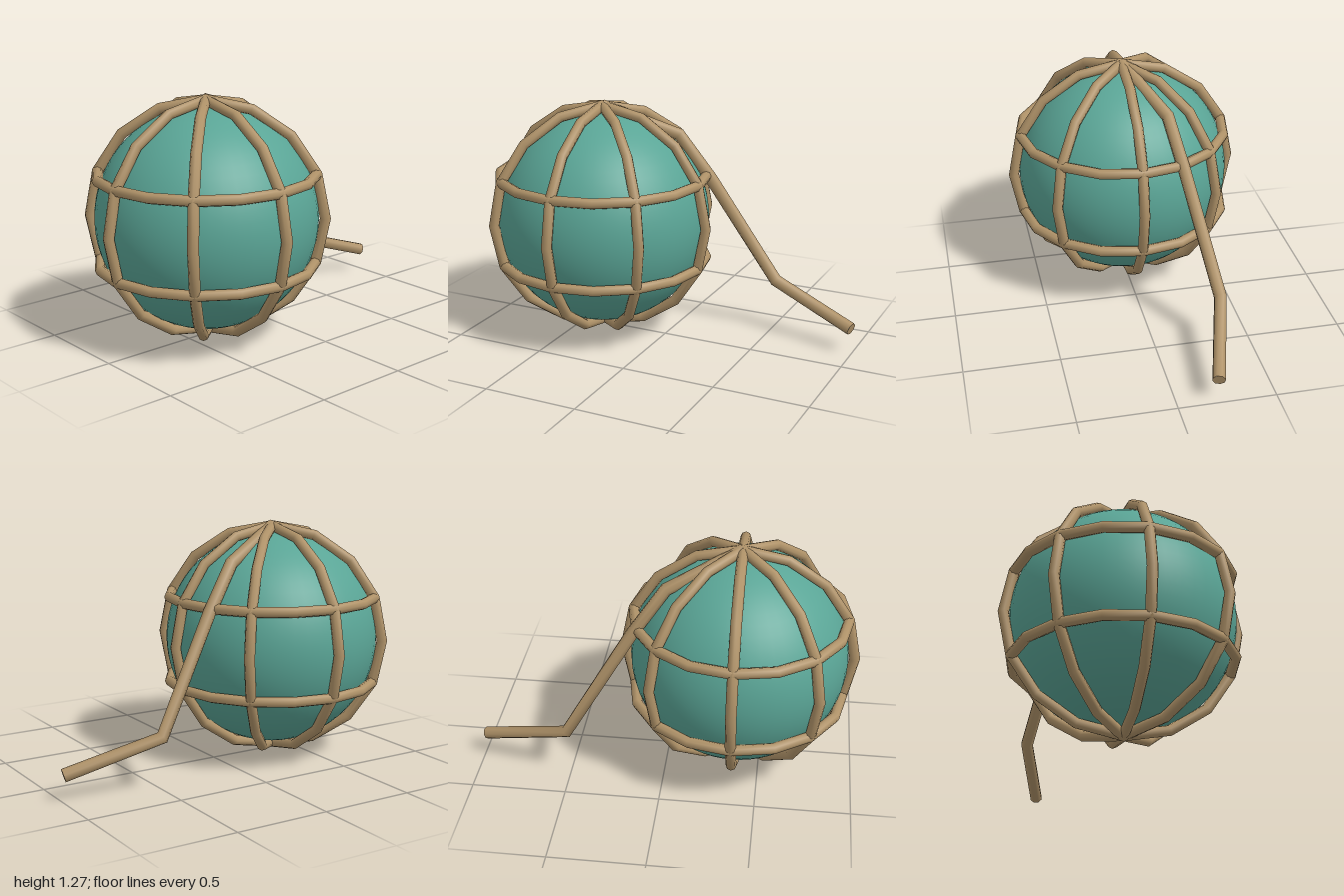
import * as THREE from 'three';

const CENTER = new THREE.Vector3(-0.37, 0.635, 0);
const CAGE_R = 0.605; // centre line of the rope net
const ROPE_R = 0.028;

// Straight-sided path whose tube rings land exactly on its corner points
class Polyline extends THREE.Curve {
  constructor(points) {
    super();
    this.points = points;
  }
  getPoint(t, target = new THREE.Vector3()) {
    const n = this.points.length - 1;
    const i = Math.min(Math.floor(t * n + 1e-6), n - 1);
    return target.lerpVectors(this.points[i], this.points[i + 1], t * n - i);
  }
  getPointAt(u, target) {
    return this.getPoint(u, target);
  }
  getTangentAt(u, target = new THREE.Vector3()) {
    const p = this.points, n = p.length - 1, i = Math.round(u * n);
    const dir = (a, b) => b.clone().sub(a).normalize();
    target.set(0, 0, 0);
    if (i > 0) target.add(dir(p[i - 1], p[i]));
    if (i < n) target.add(dir(p[i], p[i + 1]));
    return target.normalize();
  }
}

export function createModel() {
  const model = new THREE.Group();
  model.name = 'nettedFloat';
  const glass = new THREE.MeshStandardMaterial({ color: 0x5aa596 });
  glass.name = 'tealGlass';
  const rope = new THREE.MeshStandardMaterial({ color: 0xb09369 });
  rope.name = 'tanRope';

  const add = (parent, name, geometry, material) => {
    const mesh = new THREE.Mesh(geometry, material);
    mesh.name = name;
    parent.add(mesh);
    return mesh;
  };

  // Glass ball
  add(model, 'ball', new THREE.SphereGeometry(0.572, 48, 32), glass).position.copy(CENTER);

  // Rope net: four full hoops through the poles and two level rings
  const net = new THREE.Group();
  net.name = 'net';
  net.position.copy(CENTER);
  model.add(net);
  const hoop = new THREE.TorusGeometry(CAGE_R, ROPE_R, 8, 16);
  for (let i = 0; i < 4; i++) {
    add(net, 'meridianRope', hoop, rope).rotation.y = (i * Math.PI) / 4;
  }
  const tilt = Math.PI / 8;
  const ring = new THREE.TorusGeometry(CAGE_R * Math.cos(tilt), ROPE_R, 8, 16);
  ring.rotateX(Math.PI / 2);
  for (const side of [1, -1]) {
    add(net, 'latitudeRope', ring, rope).position.y = side * CAGE_R * Math.sin(tilt);
  }

  // Loose rope from the top of the ball, over its side and out along the ground
  const points = [
    [-0.37, 1.24, 0],
    [0.0, 1.085, -0.17],
    [0.165, 0.85, -0.222],
    [0.51, 0.28, -0.338],
    [0.985, 0.13, -0.205],
  ].map((p) => new THREE.Vector3(...p));
  const path = new Polyline(points);
  const tailR = 0.034;
  add(model, 'tailRope', new THREE.TubeGeometry(path, points.length - 1, tailR, 8, false), rope);

  // Caps at both ends of the loose rope
  for (const u of [0, 1]) {
    const cap = add(model, 'tailEnd', new THREE.CircleGeometry(tailR, 8), rope);
    cap.position.copy(path.getPointAt(u));
    const out = path.getTangentAt(u).multiplyScalar(u ? 1 : -1);
    cap.quaternion.setFromUnitVectors(new THREE.Vector3(0, 0, 1), out);
  }
  return model;
}
